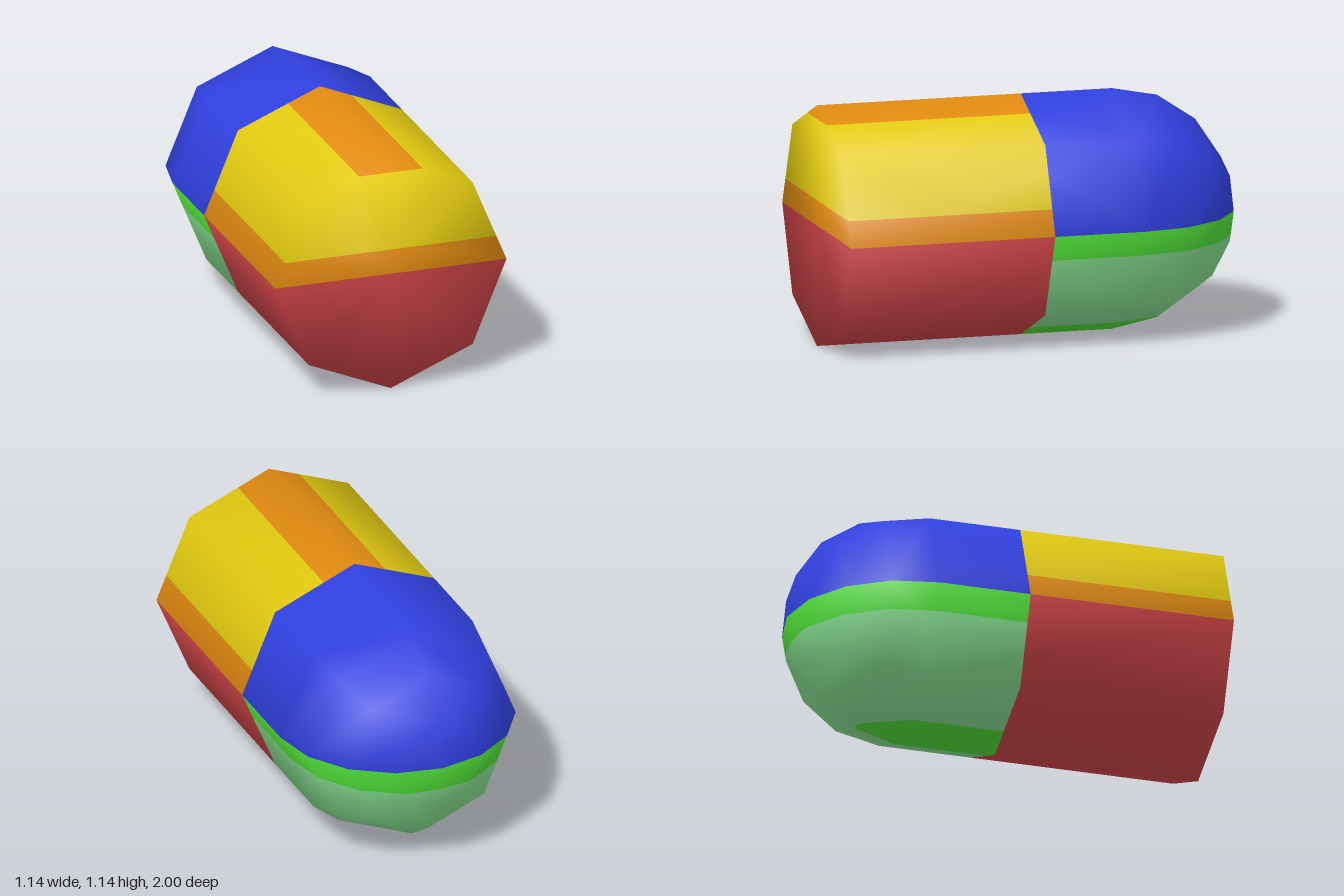
import * as THREE from 'three';
import { mergeVertices } from 'three/addons/utils/BufferGeometryUtils.js';

const R = 0.571;      // radius of the octagonal body, also its centre height
const SPLIT = 0.012;  // z where the front colours meet the back colours

// Closed body: eight-sided barrel, flat front and domed back, smooth normals
function bodyGeometry() {
  const profile = [];
  for (let i = 0; i <= 4; i++) {
    const a = (i * Math.PI) / 8;
    profile.push(new THREE.Vector2(R * Math.sin(a), R - 1 - R * Math.cos(a)));
  }
  profile.push(new THREE.Vector2(R, 1), new THREE.Vector2(0, 1));
  const lathe = new THREE.LatheGeometry(profile, 8);
  lathe.deleteAttribute('uv');
  lathe.deleteAttribute('normal');
  const body = mergeVertices(lathe, 1e-4);
  body.rotateX(Math.PI / 2).translate(0, R, 0);
  body.computeVertexNormals();
  return body;
}

// Keep the part of a polygon where sign * (p[axis] - limit) >= 0
function clip(poly, axis, limit, sign) {
  const out = [];
  poly.forEach((a, i) => {
    const b = poly[(i + 1) % poly.length];
    const da = sign * (a.p[axis] - limit);
    const db = sign * (b.p[axis] - limit);
    if (da >= 0) out.push(a);
    if ((da > 0 && db < 0) || (da < 0 && db > 0)) {
      const t = da / (da - db);
      out.push({ p: a.p.clone().lerp(b.p, t), n: a.n.clone().lerp(b.n, t) });
    }
  });
  return out;
}

// Slice of the body surface between two heights and two depths
function bandGeometry(body, y0, y1, z0, z1) {
  const pos = body.attributes.position;
  const nor = body.attributes.normal;
  const index = body.index;
  const points = [];
  const normals = [];
  for (let i = 0; i < index.count; i += 3) {
    let poly = [0, 1, 2].map((k) => {
      const v = index.getX(i + k);
      return {
        p: new THREE.Vector3().fromBufferAttribute(pos, v),
        n: new THREE.Vector3().fromBufferAttribute(nor, v),
      };
    });
    poly = clip(clip(poly, 'y', y0, 1), 'y', y1, -1);
    poly = clip(clip(poly, 'z', z0, 1), 'z', z1, -1);
    for (let k = 1; k + 1 < poly.length; k++) {
      const tri = [poly[0], poly[k], poly[k + 1]];
      if (new THREE.Triangle(...tri.map((c) => c.p)).getArea() < 1e-7) continue;
      for (const c of tri) {
        points.push(...c.p.toArray());
        normals.push(...c.n.clone().normalize().toArray());
      }
    }
  }
  const g = new THREE.BufferGeometry();
  g.setAttribute('position', new THREE.Float32BufferAttribute(points, 3));
  g.setAttribute('normal', new THREE.Float32BufferAttribute(normals, 3));
  return g;
}

export function createModel() {
  const material = (name, color) => {
    const m = new THREE.MeshStandardMaterial({ color });
    m.name = name;
    return m;
  };
  const red = material('red', 0xd04448);
  const orange = material('orange', 0xe08a10);
  const yellow = material('yellow', 0xe0c810);
  const blue = material('blue', 0x3040e0);
  const green = material('brightGreen', 0x50e038);
  const paleGreen = material('paleGreen', 0x88e090);

  const group = new THREE.Group();
  group.name = 'capsule';
  const body = bodyGeometry();

  // Name, material, bottom, top, back, front
  const bands = [
    ['frontLowerHalf', red, -1, R, SPLIT, 2],
    ['frontWaistBand', orange, R, 0.692, SPLIT, 2],
    ['frontUpperBand', yellow, 0.692, 1.077, SPLIT, 2],
    ['frontTopStrip', orange, 1.077, 2, SPLIT, 2],
    ['backUpperHalf', blue, R, 2, -2, SPLIT],
    ['backWaistBand', green, 0.448, R, -2, SPLIT],
    ['backLowerBand', paleGreen, 0.058, 0.448, -2, SPLIT],
    ['backBottomStrip', green, -1, 0.058, -2, SPLIT],
  ];
  for (const [name, mat, ...limits] of bands) {
    const mesh = new THREE.Mesh(bandGeometry(body, ...limits), mat);
    mesh.name = name;
    group.add(mesh);
  }
  return group;
}
